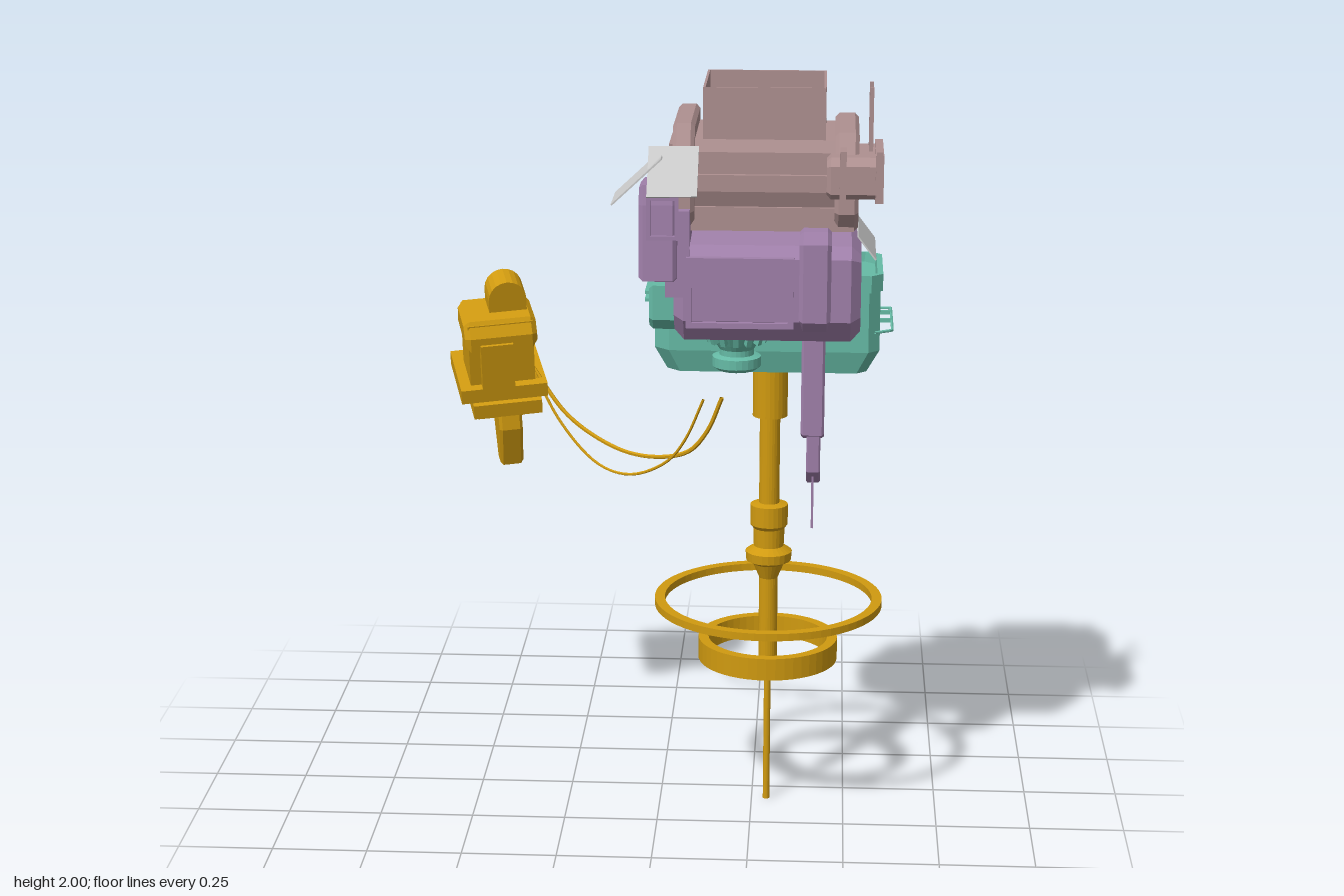
import * as THREE from 'three';

const mat = (color) => new THREE.MeshStandardMaterial({ color, flatShading: true, side: THREE.DoubleSide });

export function createModel() {
  const root = new THREE.Group();
  const ochre = mat(0xd09a10), teal = mat(0x66bba6), purple = mat(0xa080aa), mauve = mat(0xae9090), grey = mat(0xcccccc);

  const add = (name, geo, m, parent = root) => {
    const mesh = new THREE.Mesh(geo, m);
    mesh.name = name;
    parent.add(mesh);
    return mesh;
  };
  // box from its limits on each axis
  const box = (name, m, x0, x1, y0, y1, z0, z1, parent) => {
    const b = add(name, new THREE.BoxGeometry(x1 - x0, y1 - y0, z1 - z0), m, parent);
    b.position.set((x0 + x1) / 2, (y0 + y1) / 2, (z0 + z1) / 2);
    return b;
  };
  const shape = (pts) => new THREE.Shape(pts.map(([a, b]) => new THREE.Vector2(a, b)));
  // side profile of (z, y) points carried from x0 to x1 with bevelled ends
  const sideProfile = (name, m, pts, x0, x1, bevel = 0.01, parent = root) => {
    const geo = new THREE.ExtrudeGeometry(shape(pts), {
      depth: x1 - x0 - 2 * bevel, bevelEnabled: bevel > 0, bevelThickness: bevel, bevelSize: bevel, bevelOffset: -bevel, bevelSegments: 1,
    });
    geo.rotateY(-Math.PI / 2).translate(x1 - bevel, 0, 0);
    return add(name, geo, m, parent);
  };
  // rectangular frame with an open middle, facing +z
  const frame = (name, m, w, h, t, d, x, y, z) => {
    const rect = (a, b) => [[-a, -b], [a, -b], [a, b], [-a, b]];
    const s = shape(rect(w / 2, h / 2));
    s.holes.push(new THREE.Path(rect(w / 2 - t, h / 2 - t).map((p) => new THREE.Vector2(...p))));
    const f = add(name, new THREE.ExtrudeGeometry(s, { depth: d, bevelEnabled: false }), m);
    f.position.set(x, y, z);
    return f;
  };
  const tube = (name, m, pts, r, smooth = true) => {
    const v = pts.map((p) => new THREE.Vector3(...p));
    const c = new THREE.CatmullRomCurve3(v, false, 'catmullrom', smooth ? 0.5 : 0.02);
    return add(name, new THREE.TubeGeometry(c, 36, r, 6), m);
  };
  const lathe = (name, m, pts, seg = 24, parent = root) =>
    add(name, new THREE.LatheGeometry(pts.map(([r, y]) => new THREE.Vector2(r, y)), seg), m, parent);
  // stacked outlines of (x, z) points: each level is [y, scale]
  const loft = (name, m, pts, levels, cx, cz) => {
    const pos = [], idx = [], n = pts.length;
    for (const [y, s] of levels) for (const [x, z] of pts) pos.push(cx + (x - cx) * s, y, cz + (z - cz) * s);
    for (let l = 0; l < levels.length - 1; l++) for (let i = 0; i < n; i++) {
      const a = l * n + i, b = l * n + (i + 1) % n;
      idx.push(a, a + n, b, b, a + n, b + n);
    }
    const geo = new THREE.BufferGeometry();
    geo.setAttribute('position', new THREE.Float32BufferAttribute(pos, 3));
    geo.setIndex(idx);
    const flat = geo.toNonIndexed();
    flat.computeVertexNormals();
    return add(name, flat, m);
  };

  // mast and its two rings
  const mast = new THREE.Group();
  mast.name = 'mast';
  mast.position.set(0.29, 0, 0.08);
  root.add(mast);
  lathe('mastPole', ochre, [[0, 0], [0.009, 0], [0.009, 0.35], [0.022, 0.36], [0.025, 0.4], [0.025, 0.64], [0.042, 0.68], [0.06, 0.69],
    [0.062, 0.715], [0.04, 0.73], [0.042, 0.78], [0.05, 0.79], [0.05, 0.845], [0.027, 0.85], [0.027, 1.09], [0.046, 1.09], [0.046, 1.26], [0.05, 1.3], [0.05, 1.68], [0, 1.68]], 24, mast);
  lathe('upperRing', ochre, [[0.278, 0.565], [0.305, 0.565], [0.305, 0.585], [0.278, 0.585], [0.278, 0.565]], 64, mast);
  lathe('lowerRing', ochre, [[0.16, 0.412], [0.187, 0.412], [0.187, 0.472], [0.16, 0.472], [0.16, 0.412]], 48, mast);

  // lower hull: a tapered tub with a rim
  const outline = [[0.07, -0.15], [0.55, -0.15], [0.58, -0.12], [0.58, 0.12], [0.55, 0.15], [0.02, 0.15], [-0.02, 0.11], [-0.02, -0.08], [0.0, -0.11], [0.04, -0.12]];
  loft('hull', teal, outline, [[1.22, 0], [1.22, 0.87], [1.28, 0.98], [1.44, 0.98], [1.44, 1], [1.485, 1], [1.485, 0.95], [1.46, 0.94], [1.46, 0]], 0.28, 0);
  sideProfile('hullSideBox', teal, [[0.08, 1.48], [0.27, 1.48], [0.27, 1.39], [0.24, 1.36], [0.08, 1.36]], -0.02, 0.1);
  sideProfile('panelBracket', teal, [[-0.08, 1.55], [-0.2, 1.47], [-0.21, 1.37], [-0.13, 1.34], [-0.08, 1.4]], 0.14, 0.23);
  tube('sideRail', teal, [[0.57, 1.35, -0.07], [0.605, 1.35, -0.07], [0.605, 1.35, 0.18], [0.56, 1.35, 0.21]], 0.004, false);
  for (const z of [-0.02, 0.07]) box('railPost', teal, 0.56, 0.605, 1.345, 1.355, z - 0.004, z + 0.004);
  for (const y of [1.44, 1.46]) box('hullBar', teal, -0.03, 0.03, y - 0.004, y + 0.004, 0.02, 0.26);

  // ribbed nozzles, one aimed back and one aimed down
  const nozzle = (x, y, z, rx, k) => {
    const g = new THREE.Group();
    g.name = 'nozzle';
    lathe('nozzleBody', teal, [[0.075, -0.03], [0.08, 0.03], [0.055, 0.07], [0.045, 0.085], [0.045, 0.1], [0.063, 0.105], [0.063, 0.13], [0.05, 0.14], [0.035, 0.14], [0.03, 0.1], [0, 0.1]], 24, g);
    for (let i = 0; i < 14; i++) {
      const a = i * Math.PI / 7;
      const rib = add('nozzleRib', new THREE.BoxGeometry(0.014, 0.06, 0.02), teal, g);
      rib.position.set(0.077 * Math.sin(a), 0.035, 0.077 * Math.cos(a));
      rib.rotation.set(-0.35, a, 0, 'YXZ');
    }
    g.position.set(x, y, z);
    g.rotation.x = rx;
    g.scale.setScalar(k);
    root.add(g);
  };
  nozzle(0.405, 1.55, 0.03, -Math.PI / 2, 0.95);
  nozzle(0.205, 1.395, 0.23, Math.PI, 1);

  // middle body
  sideProfile('middleBody', purple, [[0.04, 1.58], [0.08, 1.63], [0.37, 1.61], [0.4, 1.58], [0.4, 1.42], [0.35, 1.36], [0.1, 1.36], [0.04, 1.42]], 0.05, 0.52, 0.025);
  frame('frontFrame', purple, 0.27, 0.18, 0.014, 0.03, 0.217, 1.495, 0.385);
  sideProfile('frontColumn', purple, [[0.3, 1.65], [0.39, 1.65], [0.41, 1.62], [0.41, 1.42], [0.34, 1.36], [0.3, 1.36]], 0.365, 0.445);
  // stepped fin below the middle body
  sideProfile('finUpper', purple, [[0.19, 1.4], [0.31, 1.4], [0.31, 1.1], [0.19, 1.06]], 0.373, 0.433, 0.006);
  sideProfile('finLower', purple, [[0.195, 1.3], [0.275, 1.3], [0.27, 0.99], [0.195, 0.94]], 0.388, 0.424, 0.004);
  box('finNeedle', purple, 0.402, 0.408, 0.82, 1, 0.205, 0.212);
  box('finNeedle', purple, 0.402, 0.408, 0.9, 1.02, 0.236, 0.242);
  // side pod
  sideProfile('sidePod', purple, [[0.28, 1.7], [0.32, 1.77], [0.42, 1.77], [0.43, 1.72], [0.44, 1.53], [0.4, 1.52], [0.28, 1.58]], -0.035, 0.06);
  frame('podFrame', purple, 0.08, 0.11, 0.01, 0.015, 0.025, 1.69, 0.43);
  box('podArm', purple, 0.03, 0.09, 1.48, 1.7, 0.25, 0.4);
  // rear pipes
  for (const x of [0.12, 0.15, 0.183, 0.228])
    tube('rearPipe', purple, [[x, 1.79, 0.02], [x, 1.72, -0.05], [x, 1.55, -0.052], [x, 1.5, 0.03]], 0.007, false);

  // upper body with end plates
  sideProfile('upperBody', mauve, [[0.02, 1.84], [0.04, 1.87], [0.33, 1.87], [0.345, 1.84], [0.345, 1.74], [0.33, 1.7], [0.05, 1.7], [0.02, 1.73]], 0.08, 0.47);
  box('upperBase', mauve, 0.09, 0.5, 1.64, 1.7, 0.04, 0.34);
  for (const [x0, x1, t] of [[0.045, 0.1, 1.91], [0.45, 0.51, 1.89]])
    sideProfile('endPlate', mauve, [[0, t - 0.03], [0.03, t], [0.33, t], [0.37, t - 0.06], [0.37, 1.69], [0.33, 1.64], [0.05, 1.64], [0, 1.68]], x0, x1);
  frame('endFrame', mauve, 0.17, 0.14, 0.015, 0.015, 0.045, 1.77, 0.15).rotation.y = -Math.PI / 2;
  box('frontLedge', mauve, 0.1, 0.46, 1.775, 1.785, 0.33, 0.36);
  box('rearLedge', mauve, 0.1, 0.46, 1.775, 1.785, 0.005, 0.03);

  // open hopper on top
  box('hopperFloor', mauve, 0.125, 0.425, 1.87, 1.88, 0.04, 0.33);
  for (const x of [0.12, 0.42]) box('hopperSide', mauve, x, x + 0.006, 1.86, 2, 0.04, 0.33);
  for (const z of [0.04, 0.324]) box('hopperWall', mauve, 0.12, 0.426, 1.86, 2, z, z + 0.006);

  // front corner sensor box with antennas
  sideProfile('sensorBox', mauve, [[0.2, 1.74], [0.2, 1.84], [0.4, 1.84], [0.42, 1.82], [0.42, 1.75], [0.4, 1.735]], 0.43, 0.56);
  frame('sensorFrame', mauve, 0.24, 0.12, 0.016, 0.02, 0.55, 1.79, 0.31).rotation.y = Math.PI / 2;
  for (const x of [0.47, 0.56]) box('sensorProng', mauve, x - 0.008, x + 0.008, 1.74, 1.86, 0.37, 0.435);
  for (const z of [0.22, 0.31]) box('antenna', mauve, 0.534, 0.544, 1.82, 2, z - 0.005, z + 0.005);

  // thin tilted panels
  const panel = (w, d, x, y, z, rx, rz) => {
    const p = add('tiltedPanel', new THREE.BoxGeometry(w, 0.004, d), grey);
    p.position.set(x, y, z);
    p.rotation.set(rx, 0, rz);
  };
  panel(0.17, 0.165, -0.04, 1.78, 0.36, 0, 0.75);
  panel(0.125, 0.15, 0.05, 1.805, 0.428, 0.8, 0.03);
  panel(0.135, 0.18, 0.187, 1.535, -0.165, -0.6, 0);
  panel(0.075, 0.27, 0.533, 1.6, 0.21, 0, -0.92);

  // tethered pod
  const pod = new THREE.Group();
  pod.name = 'tetheredPod';
  pod.position.set(-0.475, 1.13, -0.31);
  pod.rotation.set(0.22, 0.25, 0.06, 'YXZ');
  root.add(pod);
  box('podBody', ochre, -0.09, 0.09, -0.1, 0.15, -0.08, 0.08, pod);
  sideProfile('podShoulder', ochre, [[-0.09, 0.09], [-0.07, 0.16], [0.07, 0.16], [0.1, 0.12], [0.1, 0.08]], -0.1, 0.1, 0.015, pod);
  box('podFlange', ochre, -0.12, 0.12, -0.07, -0.03, -0.14, 0.11, pod);
  box('podLowerFlange', ochre, -0.09, 0.1, -0.11, -0.07, -0.165, 0.13, pod);
  const cap = add('podCap', new THREE.CylinderGeometry(0.052, 0.052, 0.09, 20), ochre, pod);
  cap.rotation.x = Math.PI / 2;
  cap.position.set(0.03, 0.195, -0.02);
  box('podNeck', ochre, -0.022, 0.082, 0.12, 0.195, -0.065, 0.025, pod);
  sideProfile('podKeel', ochre, [[-0.07, -0.09], [0.1, -0.09], [0.12, -0.16], [0.1, -0.28], [0.05, -0.28]], -0.02, 0.045, 0.008, pod);
  box('podSideBlock', ochre, -0.07, 0.06, -0.16, -0.09, -0.12, 0.04, pod);
  box('podFrontRib', ochre, -0.06, 0.03, -0.06, 0.1, 0.07, 0.11, pod);

  // two slack cables
  tube('cable', ochre, [[-0.38, 1.12, -0.28], [-0.3, 0.98, -0.235], [-0.2, 0.88, -0.18], [-0.1, 0.86, -0.12], [0, 0.91, -0.06], [0.06, 0.99, -0.02], [0.11, 1.11, 0.01]], 0.004);
  tube('cable', ochre, [[-0.38, 1.12, -0.29], [-0.28, 1.0, -0.23], [-0.16, 0.935, -0.16], [-0.05, 0.92, -0.095], [0.06, 0.95, -0.03], [0.12, 1.02, 0.0], [0.16, 1.12, 0.025]], 0.006);
  return root;
}
